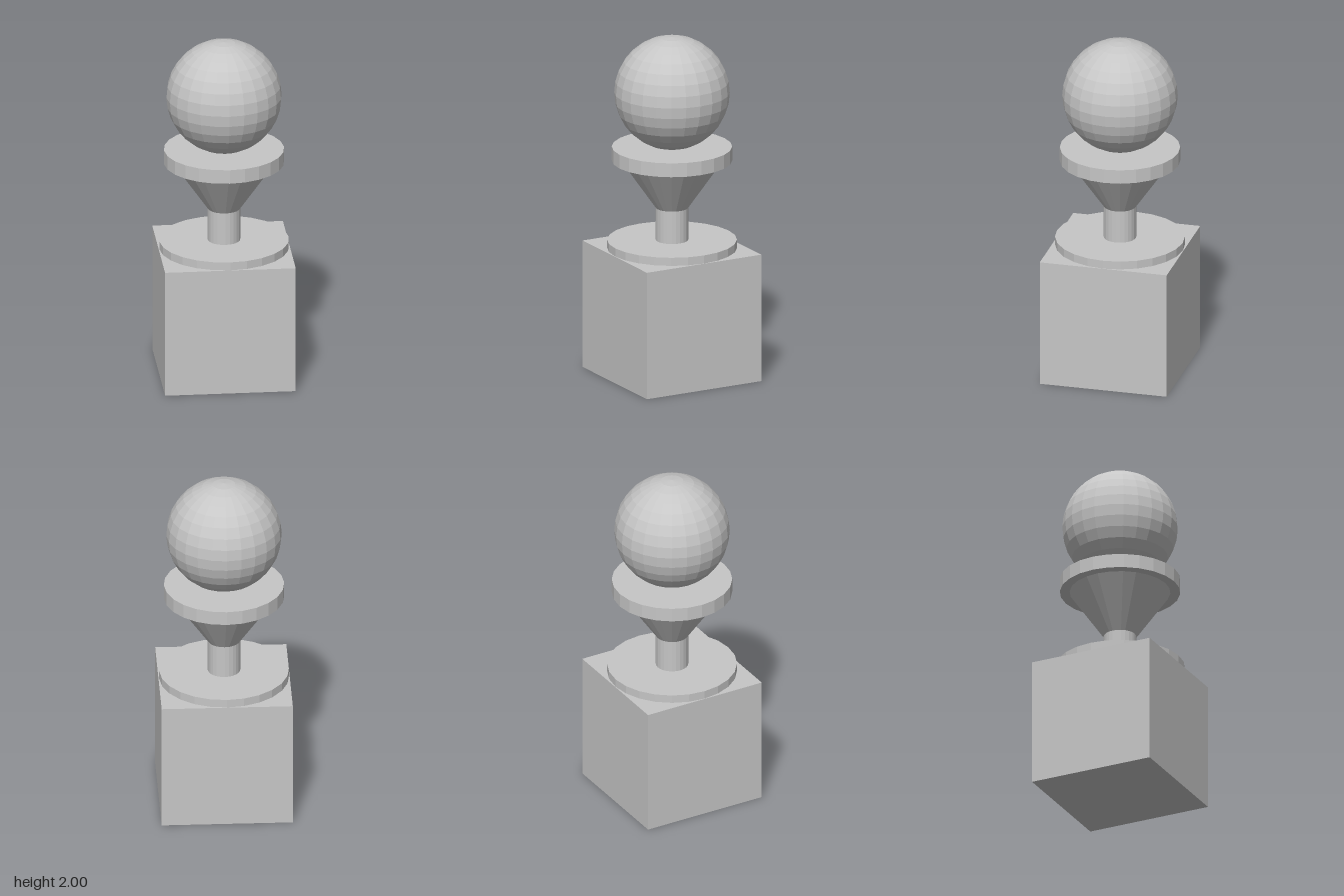
import * as THREE from 'three';

export function createModel() {
  const group = new THREE.Group();
  const stone = new THREE.MeshStandardMaterial({ color: 0xc6c6c6, flatShading: true });
  stone.name = 'light grey';
  const SIDES = 24;

  const add = (name, geometry, y) => {
    const mesh = new THREE.Mesh(geometry, stone);
    mesh.name = name;
    mesh.position.y = y;
    group.add(mesh);
  };
  // Round part spanning y0 to y1
  const round = (name, rBottom, rTop, y0, y1) =>
    add(name, new THREE.CylinderGeometry(rTop, rBottom, y1 - y0, SIDES), (y0 + y1) / 2);

  // Cube pedestal
  add('pedestal', new THREE.BoxGeometry(0.747, 0.75, 0.747), 0.375);

  // Turned column
  round('baseDisc', 0.37, 0.37, 0.75, 0.798);
  round('stem', 0.093, 0.093, 0.798, 0.99);
  round('flare', 0.093, 0.287, 0.99, 1.268);
  round('collar', 0.343, 0.343, 1.268, 1.35);

  // Ball finial
  add('ball', new THREE.SphereGeometry(0.329, SIDES, 16), 1.671);

  return group;
}
